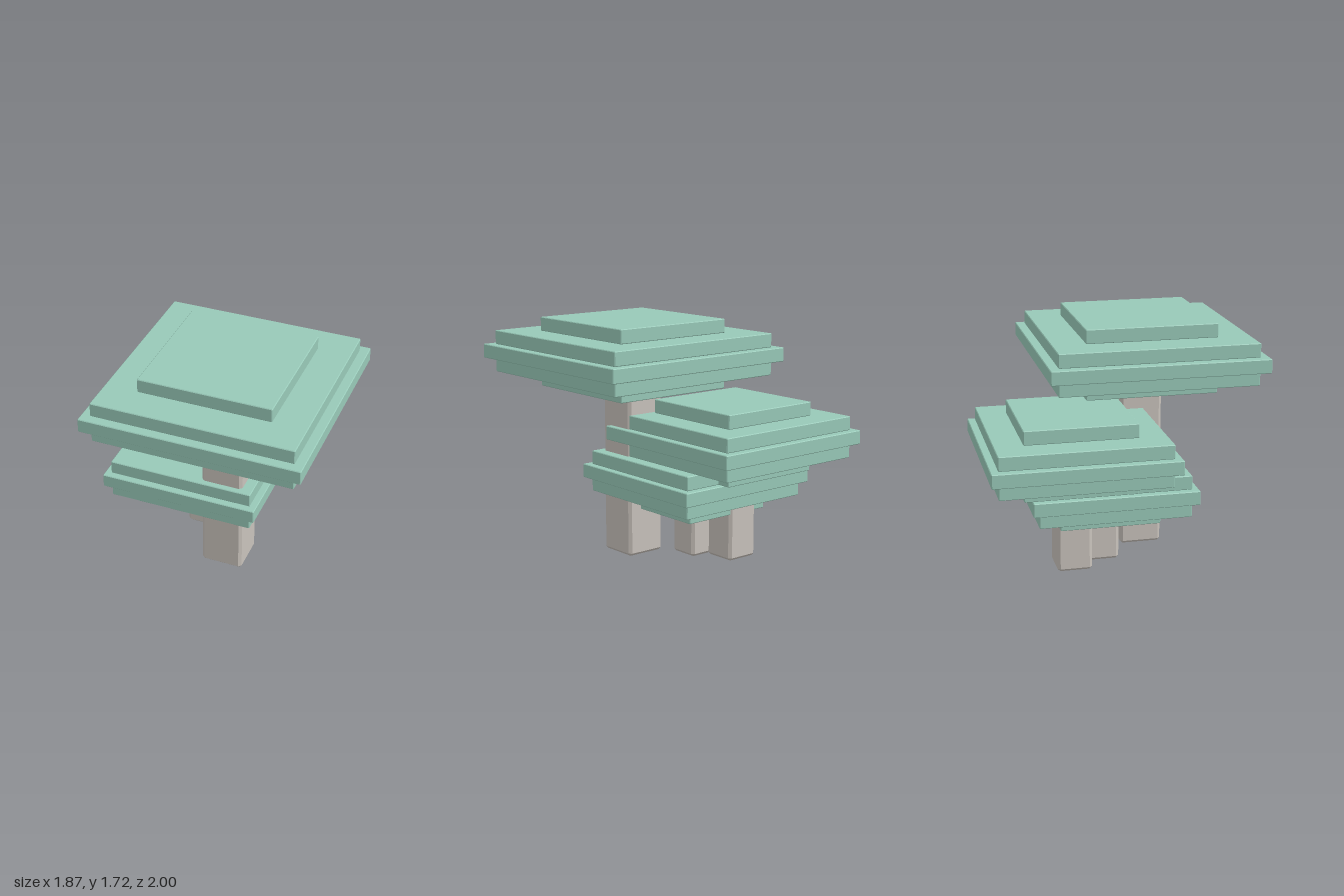
import * as THREE from 'three';
import { ConvexGeometry } from 'three/addons/geometries/ConvexGeometry.js';

// Box with a flat chamfer of size c on every edge
function chamferBox(w, h, d, c) {
  const points = [];
  for (const sx of [-1, 1]) for (const sy of [-1, 1]) for (const sz of [-1, 1]) {
    const x = w / 2, y = h / 2, z = d / 2;
    points.push(
      new THREE.Vector3(sx * x, sy * (y - c), sz * (z - c)),
      new THREE.Vector3(sx * (x - c), sy * y, sz * (z - c)),
      new THREE.Vector3(sx * (x - c), sy * (y - c), sz * z)
    );
  }
  return new ConvexGeometry(points);
}

export function createModel() {
  const model = new THREE.Group();
  model.name = 'treeCluster';

  const foliage = new THREE.MeshStandardMaterial({ color: 0x98c9b8 });
  foliage.name = 'foliage green';
  const bark = new THREE.MeshStandardMaterial({ color: 0xc8c2bb });
  bark.name = 'pale bark';

  // One tree: square trunk and five stacked slabs, symmetric about the widest
  function addTree(name, x, z, trunkSize, crownBase, halfWidths) {
    const tree = new THREE.Group();
    tree.name = name;
    tree.position.set(x, 0, z);

    const trunkHeight = crownBase + 0.04;
    const trunk = new THREE.Mesh(chamferBox(trunkSize, trunkHeight, trunkSize, 0.02), bark);
    trunk.name = 'trunk';
    trunk.position.y = trunkHeight / 2;
    tree.add(trunk);

    const step = 0.1005;
    for (let i = 0; i < 5; i++) {
      const size = 2 * halfWidths[2 - Math.abs(i - 2)];
      const slab = new THREE.Mesh(chamferBox(size, step, size, 0.005), foliage);
      slab.name = 'crownLayer' + (i + 1);
      slab.position.y = crownBase + step * (i + 0.5);
      tree.add(slab);
    }
    model.add(tree);
  }

  addTree('tallTree', 0.162, 0.228, 0.305, 1.221, [0.472, 0.708, 0.771]);
  addTree('middleTree', -0.289, -0.352, 0.25, 0.646, [0.396, 0.595, 0.647]);
  addTree('smallTree', -0.144, -0.111, 0.226, 0.345, [0.357, 0.535, 0.582]);

  return model;
}
